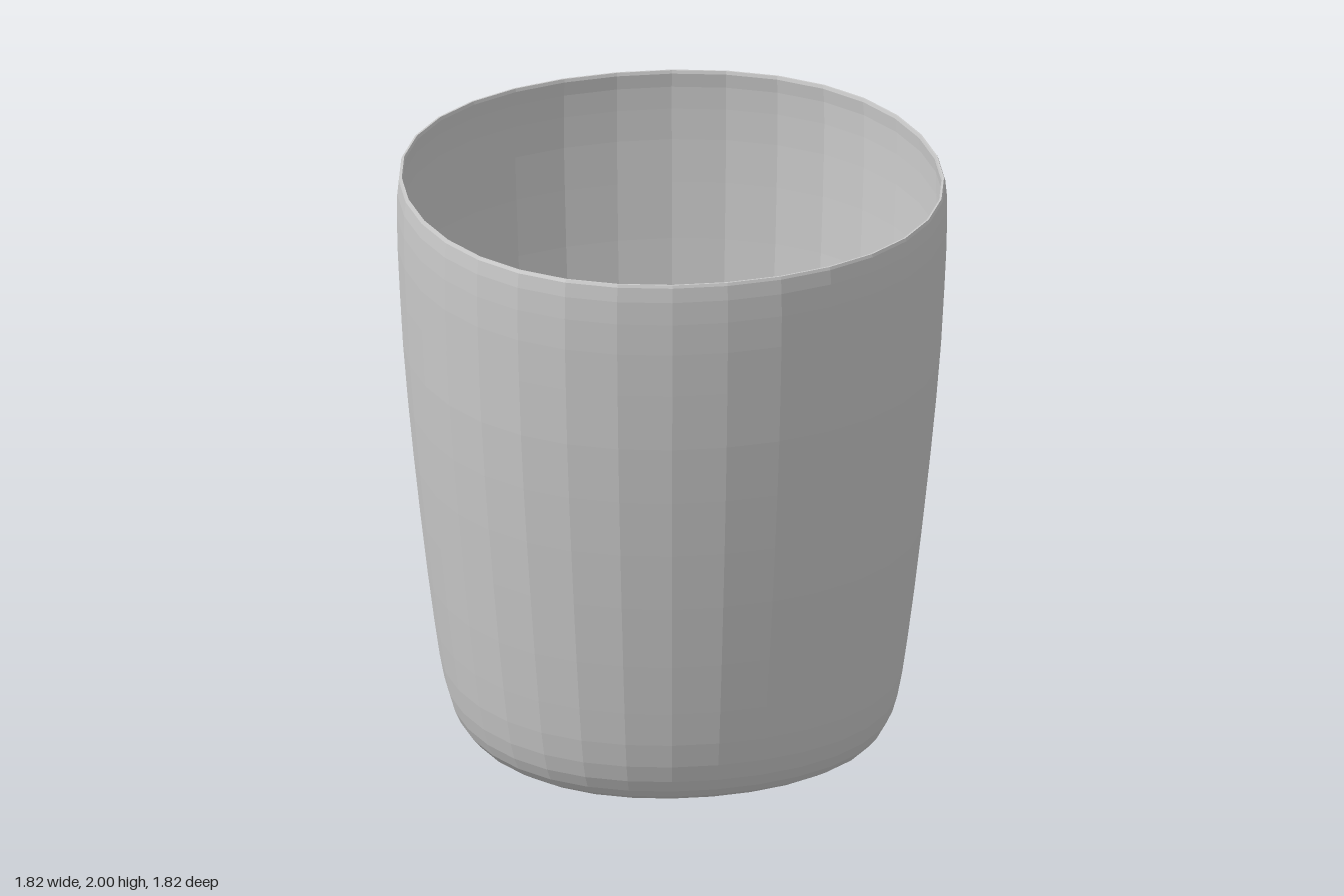
import * as THREE from 'three';

const SEGMENTS = 32;

// Outer silhouette from the centre of the base up to the rim: [radius, height]
const outer = [
  [0, 0], [0.31, 0.007], [0.5, 0.016], [0.6, 0.026], [0.65, 0.039], [0.69, 0.063],
  [0.714, 0.092], [0.734, 0.135], [0.751, 0.195], [0.767, 0.28], [0.784, 0.4],
  [0.807, 0.58], [0.832, 0.8], [0.853, 1.0], [0.872, 1.2], [0.888, 1.4],
  [0.899, 1.6], [0.906, 1.75], [0.908, 1.86], [0.907, 1.94], [0.902, 1.99],
].map(([r, y]) => new THREE.Vector2(r, y));

// Shift each point inward along its normal: thin at the rim, thicker at the floor
function insetProfile(points) {
  return points.map((p, i) => {
    const thickness = 0.013 + 0.014 * Math.max(0, 1 - p.y / 0.8);
    if (i === 0) return new THREE.Vector2(0, p.y + thickness);
    const a = points[i - 1];
    const b = points[Math.min(i + 1, points.length - 1)];
    const t = b.clone().sub(a).normalize();
    return new THREE.Vector2(p.x - t.y * thickness, p.y + t.x * thickness);
  });
}

// Swell the round plan slightly towards its four diagonals
function squarePlan(geometry) {
  const pos = geometry.attributes.position;
  for (let i = 0; i < pos.count; i++) {
    const x = pos.getX(i), z = pos.getZ(i);
    const angle = Math.atan2(z, x);
    const radius = Math.hypot(x, z) * (1 + 0.03 * Math.sin(2 * angle) ** 2);
    const turned = angle + 0.012 * Math.sin(4 * angle);
    pos.setX(i, radius * Math.cos(turned));
    pos.setZ(i, radius * Math.sin(turned));
  }
  geometry.computeVertexNormals();
}

export function createModel() {
  const group = new THREE.Group();
  group.name = 'cup';

  // One closed shell: outside, rounded rim, then down the inside to the floor
  const inner = insetProfile(outer).reverse();
  const rim = [new THREE.Vector2(0.898, 2), new THREE.Vector2(0.892, 2)];
  const geometry = new THREE.LatheGeometry([...outer, ...rim, ...inner], SEGMENTS);
  squarePlan(geometry);

  const material = new THREE.MeshStandardMaterial({
    color: 0xcccccc, flatShading: true, side: THREE.DoubleSide,
  });
  const body = new THREE.Mesh(geometry, material);
  body.name = 'cupBody';
  group.add(body);
  return group;
}
